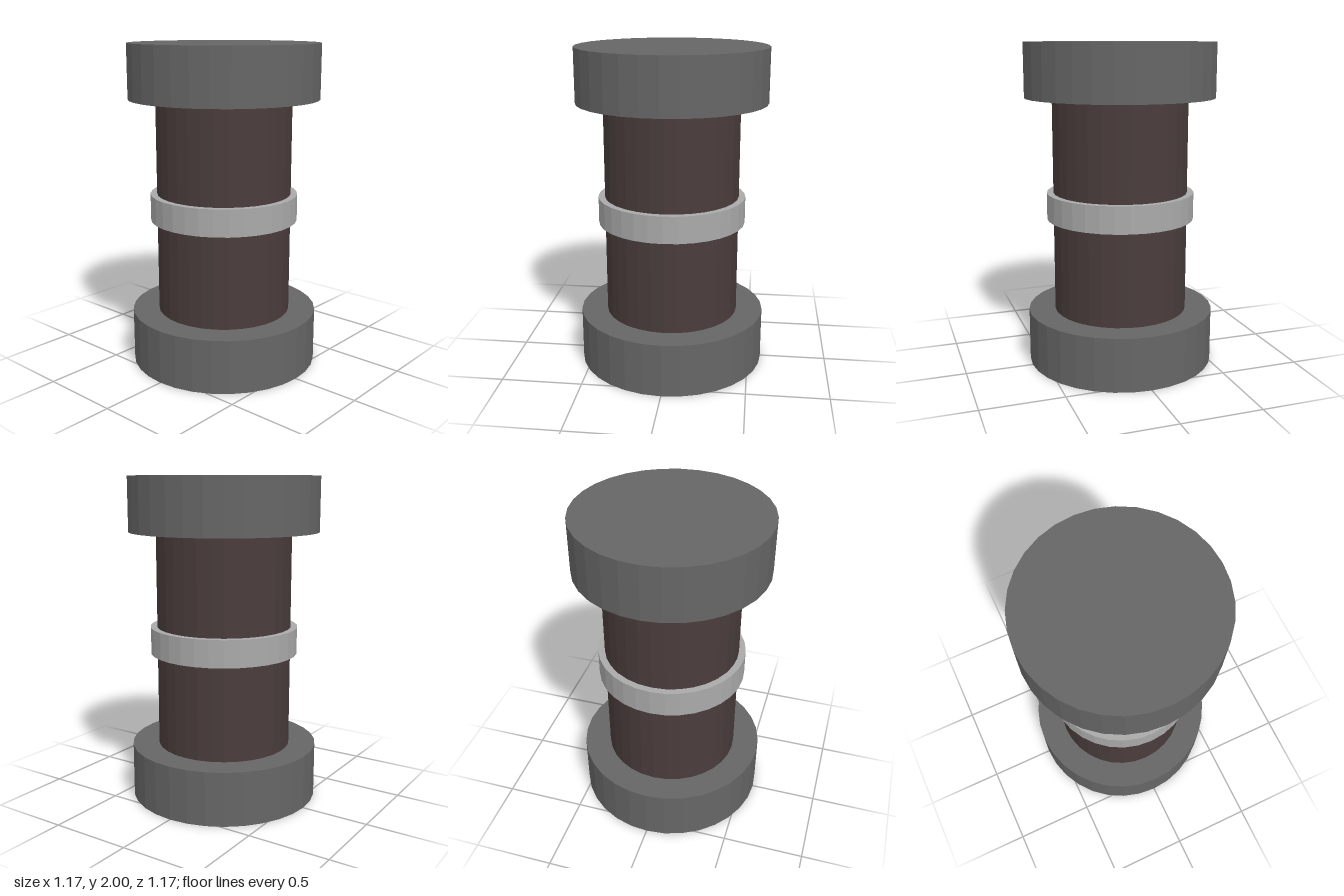
import * as THREE from 'three';

const SIDES = 32;

// Upright faceted cylinder spanning bottom..top
function drum(name, radius, bottom, top, color) {
  const mesh = new THREE.Mesh(
    new THREE.CylinderGeometry(radius, radius, top - bottom, SIDES),
    new THREE.MeshStandardMaterial({ color, flatShading: true })
  );
  mesh.name = name;
  mesh.position.y = (bottom + top) / 2;
  return mesh;
}

export function createModel() {
  const group = new THREE.Group();
  group.name = 'bandedColumn';
  group.add(
    // Wide end caps
    drum('bottomCap', 0.583, 0, 0.333, 0x666666),
    drum('topCap', 0.583, 1.667, 2, 0x666666),
    // Dark core between the caps
    drum('core', 0.417, 0.333, 1.667, 0x4a3c3c),
    // Light band around the middle
    drum('middleBand', 0.458, 0.917, 1.083, 0xaaaaaa)
  );
  return group;
}
